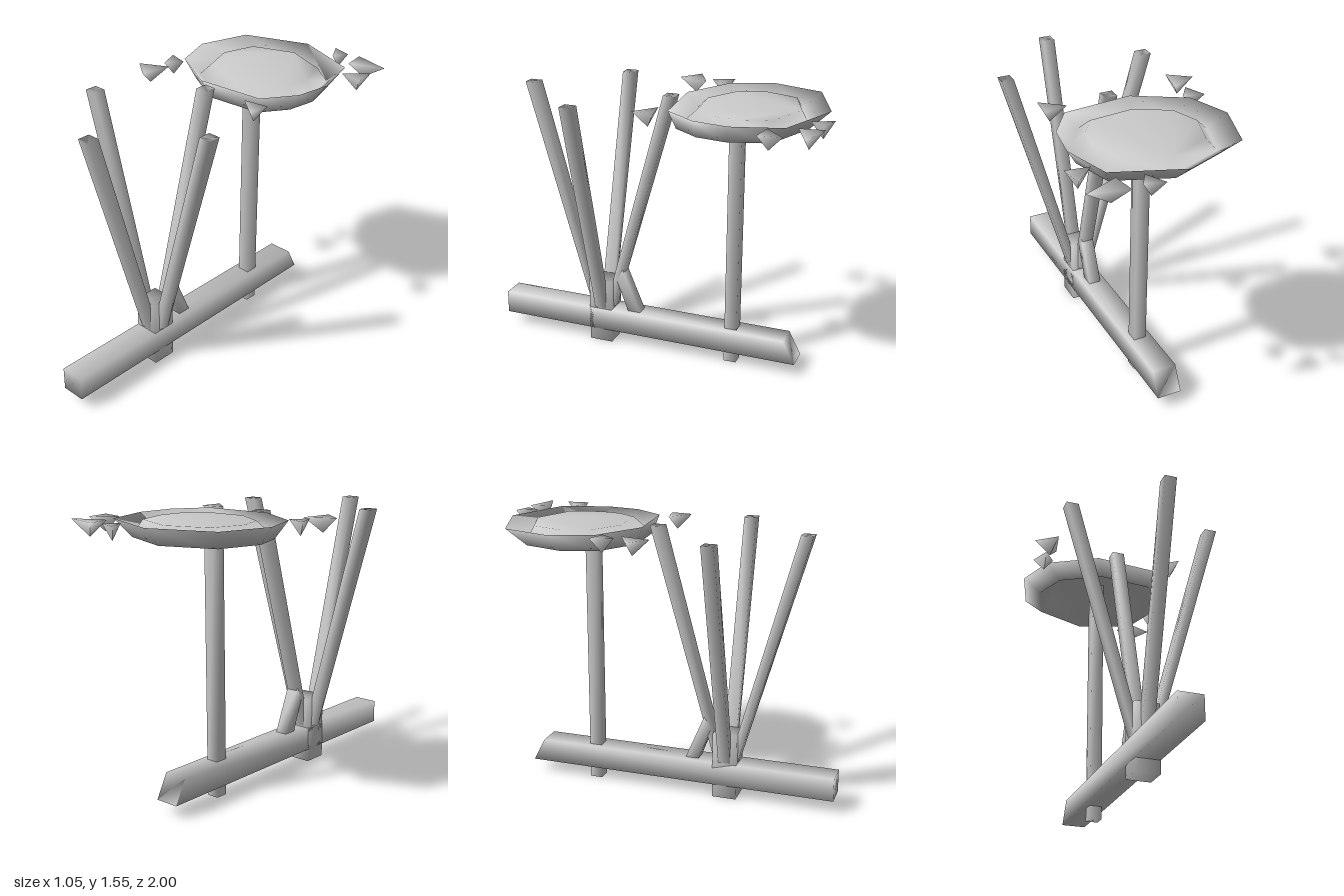
import * as THREE from 'three';

const material = new THREE.MeshStandardMaterial({ color: 0xcccccc });
const CX = -0.0185;  // middle line of the frame
const HUB_Z = 0.367; // middle of the strut hub

// Closed skin over rings of equal point count, with capped ends and shared (smooth) vertices
function loft(name, rings) {
  const n = rings[0].length;
  const pts = rings.flat();
  const index = [];
  for (let r = 0; r < rings.length - 1; r++) {
    for (let i = 0; i < n; i++) {
      const a = r * n + i, b = r * n + (i + 1) % n;
      index.push([a, b, b + n], [a, b + n, a + n]);
    }
  }
  const last = (rings.length - 1) * n;
  for (let i = 1; i < n - 1; i++) {
    index.push([0, i + 1, i], [last, last + i, last + i + 1]);
  }
  // Turn the faces outward if the enclosed volume comes out negative
  const v = pts.map(p => new THREE.Vector3(...p));
  const volume = index.reduce((s, [a, b, c]) => s + v[a].dot(v[b].clone().cross(v[c])), 0);
  if (volume < 0) index.forEach(t => t.reverse());
  const geometry = new THREE.BufferGeometry().setFromPoints(v);
  geometry.setIndex(index.flat());
  geometry.computeVertexNormals();
  const mesh = new THREE.Mesh(geometry, material);
  mesh.name = name;
  return mesh;
}

// Prism from a (z, y) outline, spread across x
const sidePrism = (name, outline, halfWidth) =>
  loft(name, [-1, 1].map(s => outline.map(([z, y]) => [CX + s * halfWidth, y, z])));

// Upright block from centre, half width and height range
const block = (name, z, h, y0, y1) =>
  sidePrism(name, [[z - h, y0], [z + h, y0], [z + h, y1], [z - h, y1]], h);

export function createModel() {
  const model = new THREE.Group();
  model.name = 'basinStand';

  // Long base beam with a slanted back end
  model.add(sidePrism('baseBeam', [[1, 0.075], [1, 0.21], [-0.76, 0.21], [-0.83, 0.075]], 0.07));

  // Hub through the beam, also the front foot
  model.add(block('strutHub', HUB_Z, 0.07, 0, 0.39));

  // Post up to the hollow underside of the basin, its lower end is the back foot
  model.add(block('basinPost', -0.438, 0.036, 0, 1.54));

  // Four struts leaning out from the sides of the hub
  const names = ['frontStrut', 'leftStrut', 'backStrut', 'rightStrut'];
  names.forEach((name, k) => {
    const a = k * Math.PI / 2, s = Math.sin(a), c = Math.cos(a);
    const point = (out, y, side) => [CX + out * s + side * c, y, HUB_Z + out * c - side * s];
    const outline = [[0.068, 0.21], [0.068, 0.39], [0.385, 1.55], [0.455, 1.55]];
    model.add(loft(name, [-0.035, 0.035].map(w => outline.map(([o, y]) => point(o, y, w)))));
  });

  // Short brace from the beam to the back strut
  model.add(sidePrism('brace', [[0.122, 0.2], [0.2, 0.2], [0.275, 0.4], [0.235, 0.47]], 0.036));

  // Nine-sided thin basin: hollow underside, lower edge, rim, valley, raised middle
  const rim = [
    [-0.02, -0.94], [0.355, -0.8], [0.435, -0.53], [0.405, -0.33], [0.28, -0.15],
    [-0.11, -0.115], [-0.39, -0.275], [-0.475, -0.51], [-0.385, -0.8],
  ];
  const ring = (scale, y, x0, z0) =>
    rim.map(([x, z]) => [x0 + (x - x0) * scale, y, z0 + (z - z0) * scale]);
  model.add(loft('basin', [
    ring(0.62, 1.535, 0.03, -0.51),
    ring(0.82, 1.447, 0.08, -0.33),
    ring(1, 1.55, 0, 0),
    ring(0.79, 1.475, 0.05, -0.42),
    ring(0.65, 1.545, 0.03, -0.51),
  ]));

  // Splash shards around the basin: flat triangle on top, point below
  const shards = [
    [[0.14, -1], [0.25, -0.97], [0.2, -0.89]],
    [[0.315, -0.99], [0.525, -0.94], [0.335, -0.86]],
    [[0.51, -0.83], [0.395, -0.72], [0.525, -0.7]],
    [[-0.48, -0.27], [-0.365, -0.24], [-0.43, -0.15]],
    [[-0.375, -0.13], [-0.53, -0.05], [-0.41, 0.04]],
    [[0.235, -0.08], [0.375, -0.105], [0.36, 0.02]],
  ];
  const group = new THREE.Group();
  group.name = 'shards';
  for (const t of shards) {
    const tip = [0, 1].map(k => (t[0][k] + t[1][k] + t[2][k]) / 3);
    group.add(loft('shard', [t.map(([x, z]) => [x, 1.55, z]), t.map(() => [tip[0], 1.465, tip[1]])]));
  }
  model.add(group);

  return model;
}
